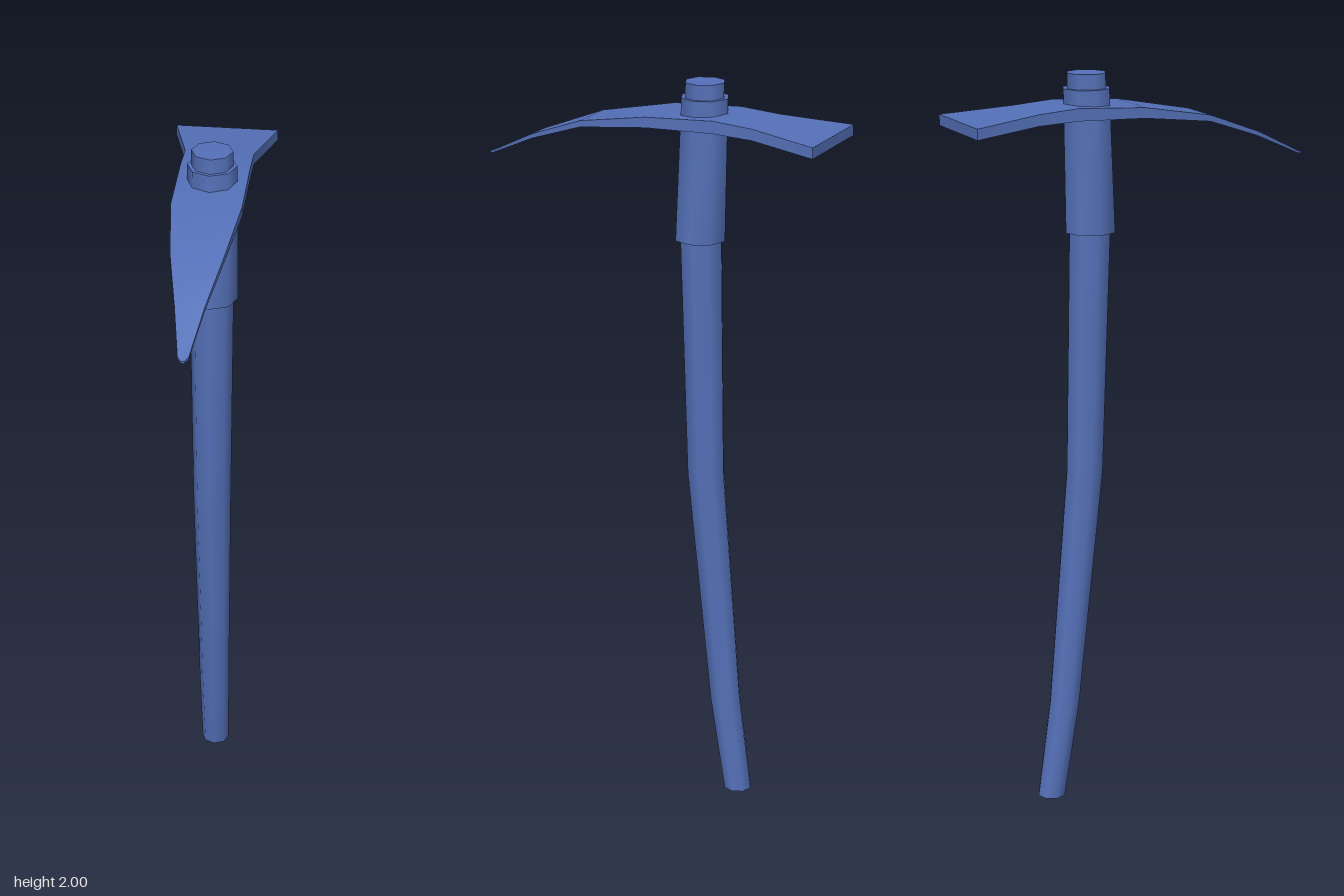
import * as THREE from 'three';
import { toCreasedNormals } from 'three/addons/utils/BufferGeometryUtils.js';

const material = new THREE.MeshStandardMaterial({ color: 0x5470b8 });

// Skins a row of equal-sized rings (counter-clockwise seen from the far end) and caps both ends
function loft(name, rings) {
  const n = rings[0].length, last = (rings.length - 1) * n, index = [];
  for (let i = 0; i < rings.length - 1; i++) {
    for (let j = 0; j < n; j++) {
      const a = i * n + j, b = i * n + (j + 1) % n;
      index.push(a, b, b + n, a, b + n, a + n);
    }
  }
  for (let j = 1; j < n - 1; j++) {
    index.push(0, j + 1, j, last, last + j, last + j + 1);
  }
  const geometry = new THREE.BufferGeometry();
  geometry.setAttribute('position', new THREE.Float32BufferAttribute(rings.flat(2), 3));
  geometry.setIndex(index);
  const mesh = new THREE.Mesh(toCreasedNormals(geometry, 0.9), material);
  mesh.name = name;
  return mesh;
}

// Level octagon at height y, centred on z
const octagon = ([y, z, r]) => Array.from({ length: 8 }, (_, i) => {
  const a = i * Math.PI / 4;
  return [r * Math.cos(a), y, z - r * Math.sin(a)];
});

// Upright rectangle across the head at z
const slab = ([z, w, bottom, top]) => [[-w, bottom, z], [w, bottom, z], [w, top, z], [-w, top, z]];

export function createModel() {
  const group = new THREE.Group();
  group.name = 'pickaxe';

  // Curved wooden handle: height, z centre, radius
  group.add(loft('handle', [
    [0, -0.253, 0.039], [0.27, -0.212, 0.043], [0.93, -0.148, 0.052],
    [1.58, -0.13, 0.058], [2, -0.138, 0.054],
  ].map(octagon)));

  // Socket around the top of the handle
  group.add(loft('collar', [[1.58, -0.128, 0.07], [1.96, -0.138, 0.065]].map(octagon)));

  // Arched head, flared blade at the back to the pick point: z, half width, underside, top
  group.add(loft('head', [
    [-0.495, 0.137, 1.865, 1.894], [-0.31, 0.091, 1.882, 1.912], [-0.2, 0.091, 1.888, 1.921],
    [-0.01, 0.091, 1.884, 1.912], [0.19, 0.068, 1.86, 1.877], [0.35, 0.037, 1.806, 1.818],
    [0.48, 0.014, 1.748, 1.755], [0.495, 0.004, 1.744, 1.75],
  ].map(slab)));

  return group;
}
